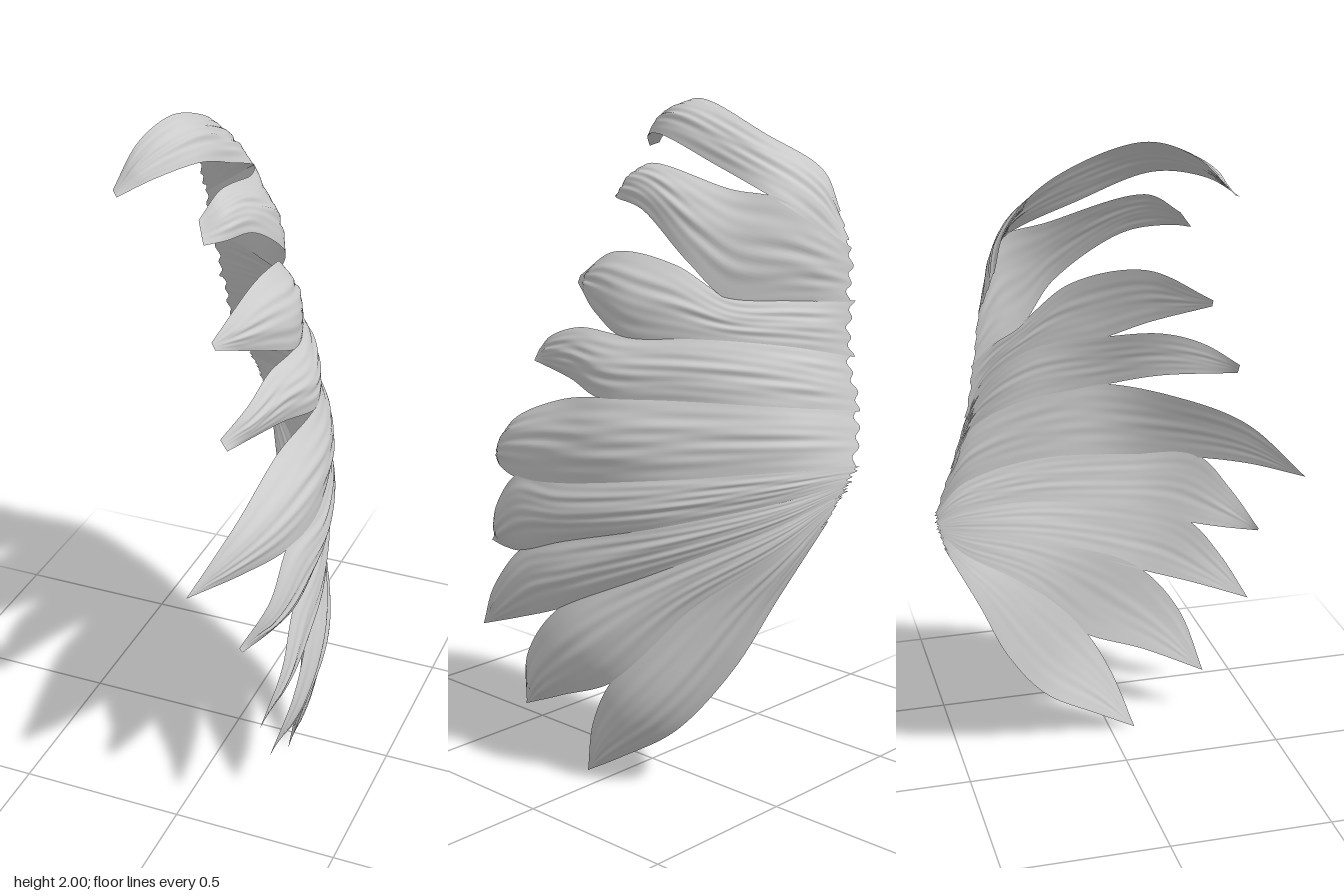
import * as THREE from 'three';

const V = (p) => new THREE.Vector3(...p);

// Seams between neighbouring feathers, from the root edge to the notch, top to bottom
const seams = [
  [[-0.31, 1.70, -0.44], [-0.28, 1.81, -0.40], [-0.19, 1.91, -0.26]],
  [[-0.30, 1.60, -0.48], [-0.20, 1.67, -0.44], [-0.11, 1.74, -0.38]],
  [[-0.29, 1.45, -0.50], [-0.14, 1.46, -0.41], [0.00, 1.47, -0.30]],
  [[-0.27, 1.30, -0.52], [-0.08, 1.34, -0.42], [0.09, 1.36, -0.25], [0.16, 1.35, -0.05]],
  [[-0.25, 1.15, -0.56], [-0.02, 1.18, -0.45], [0.14, 1.19, -0.25], [0.23, 1.18, -0.03]],
  [[-0.20, 1.00, -0.60], [0.00, 1.00, -0.48], [0.20, 0.97, -0.22], [0.29, 0.92, 0.10], [0.27, 0.90, 0.30]],
  [[-0.18, 0.96, -0.60], [0.00, 0.91, -0.48], [0.20, 0.83, -0.22], [0.28, 0.74, 0.10], [0.28, 0.68, 0.27]],
  [[-0.16, 0.93, -0.59], [0.00, 0.84, -0.48], [0.18, 0.70, -0.22], [0.27, 0.54, 0.10]],
  [[-0.14, 0.90, -0.58], [0.00, 0.76, -0.48], [0.14, 0.58, -0.28], [0.24, 0.35, -0.08]],
  [[-0.12, 0.85, -0.57], [-0.04, 0.62, -0.46], [0.04, 0.40, -0.36], [0.13, 0.20, -0.22]],
];

// Free end of each feather: its upper and lower edge, each running out to the tip
const ends = [
  { up: [[-0.20, 2.00, 0.00], [-0.24, 1.96, 0.13], [-0.27, 1.86, 0.23]], low: [[-0.09, 1.83, -0.16], [-0.10, 1.90, 0.05], [-0.17, 1.89, 0.18], [-0.25, 1.85, 0.25]] },
  { up: [[-0.06, 1.76, -0.25], [-0.04, 1.82, 0.05], [-0.06, 1.77, 0.14]], low: [[0.06, 1.57, -0.20], [0.04, 1.70, 0.00], [0.01, 1.72, 0.13], [-0.03, 1.72, 0.18]] },
  { up: [[0.06, 1.55, -0.15], [0.07, 1.57, 0.08], [0.03, 1.48, 0.27]], low: [[0.13, 1.40, 0.10], [0.04, 1.46, 0.27]] },
  { up: [[0.15, 1.35, 0.15], [0.14, 1.31, 0.28], [0.10, 1.25, 0.38]], low: [[0.19, 1.21, 0.15], [0.12, 1.22, 0.38]] },
  { up: [[0.20, 1.13, 0.20], [0.17, 1.03, 0.43], [0.09, 0.87, 0.60]], low: [[0.20, 0.89, 0.45], [0.09, 0.87, 0.60]] },
  { up: [[0.26, 0.78, 0.41], [0.20, 0.66, 0.49]], low: [[0.25, 0.66, 0.38], [0.21, 0.65, 0.49]] },
  { up: [[0.29, 0.54, 0.39], [0.26, 0.39, 0.48]], low: [[0.28, 0.46, 0.30], [0.26, 0.39, 0.48]] },
  { up: [[0.28, 0.36, 0.25], [0.23, 0.16, 0.32]], low: [[0.26, 0.25, 0.13], [0.23, 0.16, 0.32]] },
  { up: [[0.24, 0.19, 0.01], [0.20, 0.00, 0.08]], low: [[0.18, 0.08, -0.05], [0.20, 0.00, 0.08]] },
];

const ROWS = 72, COLS = 32;

// A feather is a thin closed lens stretched between its two edge curves
function featherGeometry(n) {
  const edge = (seam, free) => new THREE.CatmullRomCurve3([...seam, ...free].map(V), false, 'centripetal');
  const upper = edge(seams[n], ends[n].up), lower = edge(seams[n + 1], ends[n].low);
  const pos = [], index = [];

  for (const outer of [true, false]) {
    const base = pos.length / 3;
    for (let i = 0; i <= ROWS; i++) {
      const u = i / ROWS, un = Math.min(u, 0.97);
      const a = upper.getPointAt(u), b = lower.getPointAt(u);
      const width = a.distanceTo(b);
      const along = upper.getTangentAt(un).add(lower.getTangentAt(un)).normalize();
      const across = lower.getPointAt(un).sub(upper.getPointAt(un));
      const normal = along.clone().cross(across).normalize();
      // Nearly flat where the feathers join, arched towards the free ends
      const bulge = 0.04 + 0.1 * THREE.MathUtils.smoothstep(u, 0.25, 0.7);
      const fade = Math.min(1, width * 8), thick = Math.min(1, u * 8, (1 - u) * 12);
      for (let k = 0; k <= COLS; k++) {
        const s = k / COLS, arch = Math.sin(Math.PI * s);
        const p = a.clone().lerp(b, -0.02 + 1.04 * s);
        // Long barb grooves that wander and come and go along the feather
        const groove = 0.0035 * Math.sin(s * 23 + n * 2 + 2.5 * Math.sin(u * 4 + n)) * Math.sin(u * 7 + s * 5 + n)
          + 0.0015 * Math.sin(s * 40 + 3 * Math.sin(u * 6 + n * 1.7));
        const lift = outer
          ? width * bulge + (0.005 + groove) * fade
          : width * bulge * 0.25 + (groove * 0.3 - 0.003) * fade;
        p.addScaledVector(normal, lift * arch * thick);
        // Ragged root edge
        const ragged = Math.sin(s * 7 + n * 2.3) * Math.sin(s * 12 + n * 4.1);
        p.addScaledVector(along, 0.015 * Math.pow(1 - u, 14) * ragged);
        pos.push(p.x, Math.max(0, p.y), p.z);
      }
    }
    for (let i = 0; i < ROWS; i++) {
      for (let k = 0; k < COLS; k++) {
        const a = base + i * (COLS + 1) + k, b = a + COLS + 1;
        if (outer) index.push(a, b, a + 1, b, b + 1, a + 1);
        else index.push(a, a + 1, b, b, a + 1, b + 1);
      }
    }
  }
  const geo = new THREE.BufferGeometry();
  geo.setAttribute('position', new THREE.Float32BufferAttribute(pos, 3));
  geo.setIndex(index);
  geo.computeVertexNormals();
  return geo;
}

export function createModel() {
  const wing = new THREE.Group();
  wing.name = 'wing';
  const material = new THREE.MeshStandardMaterial({ color: 0xcccccc, side: THREE.DoubleSide });
  ends.forEach((_, n) => {
    const feather = new THREE.Mesh(featherGeometry(n), material);
    feather.name = `feather${n + 1}`;
    wing.add(feather);
  });
  return wing;
}
